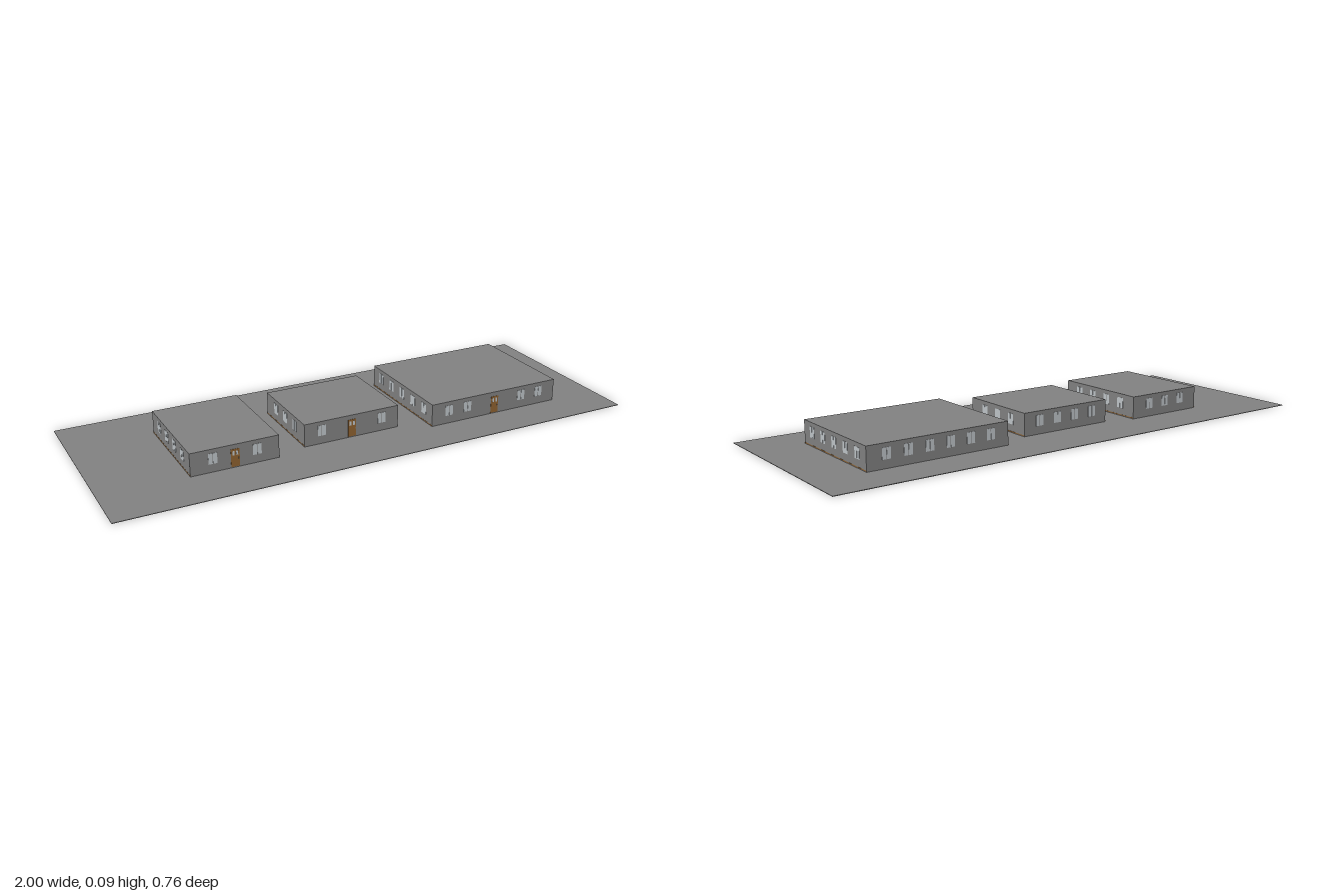
import * as THREE from 'three';

const material = (name, color) => {
  const m = new THREE.MeshStandardMaterial({ color });
  m.name = name;
  return m;
};

export function createModel() {
  const grey = material('concrete grey', 0x828282);
  const glass = material('pale glass', 0xc0c6ca);
  const wood = material('brown wood', 0x8f6230);

  const addBox = (parent, name, mat, size, pos) => {
    const mesh = new THREE.Mesh(new THREE.BoxGeometry(...size), mat);
    mesh.name = name;
    mesh.position.set(...pos);
    parent.add(mesh);
    return mesh;
  };

  const BASE = 0.002, TOP = 0.088, STEP = 0.081;

  // Window of two tall panes, lying in the local xy plane of a wall
  const addWindow = (wall, x) => {
    const win = new THREE.Group();
    win.name = 'window';
    for (const s of [-1, 1]) {
      addBox(win, 'windowPane', glass, [0.015, 0.04, 0.002], [x + s * 0.0085, 0.053, 0]);
    }
    wall.add(win);
  };

  // Wooden door with a small glazed upper part and a handle
  const addDoor = (wall, x) => {
    const door = new THREE.Group();
    door.name = 'door';
    addBox(door, 'doorLeaf', wood, [0.032, 0.066, 0.002], [x, BASE + 0.036, 0]);
    for (const s of [-1, 1]) {
      addBox(door, 'doorPane', glass, [0.007, 0.016, 0.001], [x + s * 0.007, 0.056, 0.001]);
    }
    addBox(door, 'doorHandle', grey, [0.002, 0.006, 0.003], [x + 0.012, 0.036, 0.002]);
    wall.add(door);
  };

  // Details of one wall, with evenly spaced windows
  const addWall = (house, name, length, distance, angle, count, hasDoor) => {
    const wall = new THREE.Group();
    wall.name = name;
    wall.rotation.y = angle;
    wall.position.set(Math.sin(angle) * distance, 0, Math.cos(angle) * distance);
    for (let i = 0; i < count; i++) {
      const x = (i - (count - 1) / 2) * STEP;
      // The middle positions give way to the door
      if (hasDoor && Math.abs(x) < STEP * 0.75) continue;
      addWindow(wall, x);
    }
    if (hasDoor) addDoor(wall, 0);
    if (name.startsWith('side')) {
      addBox(wall, 'baseTrim', wood, [length, 0.003, 0.001], [0, BASE + 0.0035, 0]);
    }
    house.add(wall);
  };

  const model = new THREE.Group();
  model.name = 'buildingRow';

  // Flat plot
  addBox(model, 'ground', grey, [2, BASE, 0.758], [0, BASE / 2, 0]);

  // Three flat-roofed blocks: centre x, width, depth, windows along and across
  const houses = [
    ['smallHouse', -0.516, 0.326, 0.394, 3, 4],
    ['middleHouse', -0.051, 0.38, 0.328, 4, 3],
    ['largeHouse', 0.527, 0.551, 0.444, 6, 5],
  ];
  for (const [name, x, w, d, nx, nz] of houses) {
    const house = new THREE.Group();
    house.name = name;
    house.position.x = x;
    addBox(house, 'houseBody', grey, [w, TOP - BASE, d], [0, (TOP + BASE) / 2, 0]);
    addWall(house, 'frontWall', w, d / 2, 0, nx, true);
    addWall(house, 'backWall', w, d / 2, Math.PI, nx, false);
    addWall(house, 'sideWallLeft', d, w / 2, Math.PI / 2, nz, false);
    addWall(house, 'sideWallRight', d, w / 2, -Math.PI / 2, nz, false);
    model.add(house);
  }
  return model;
}
